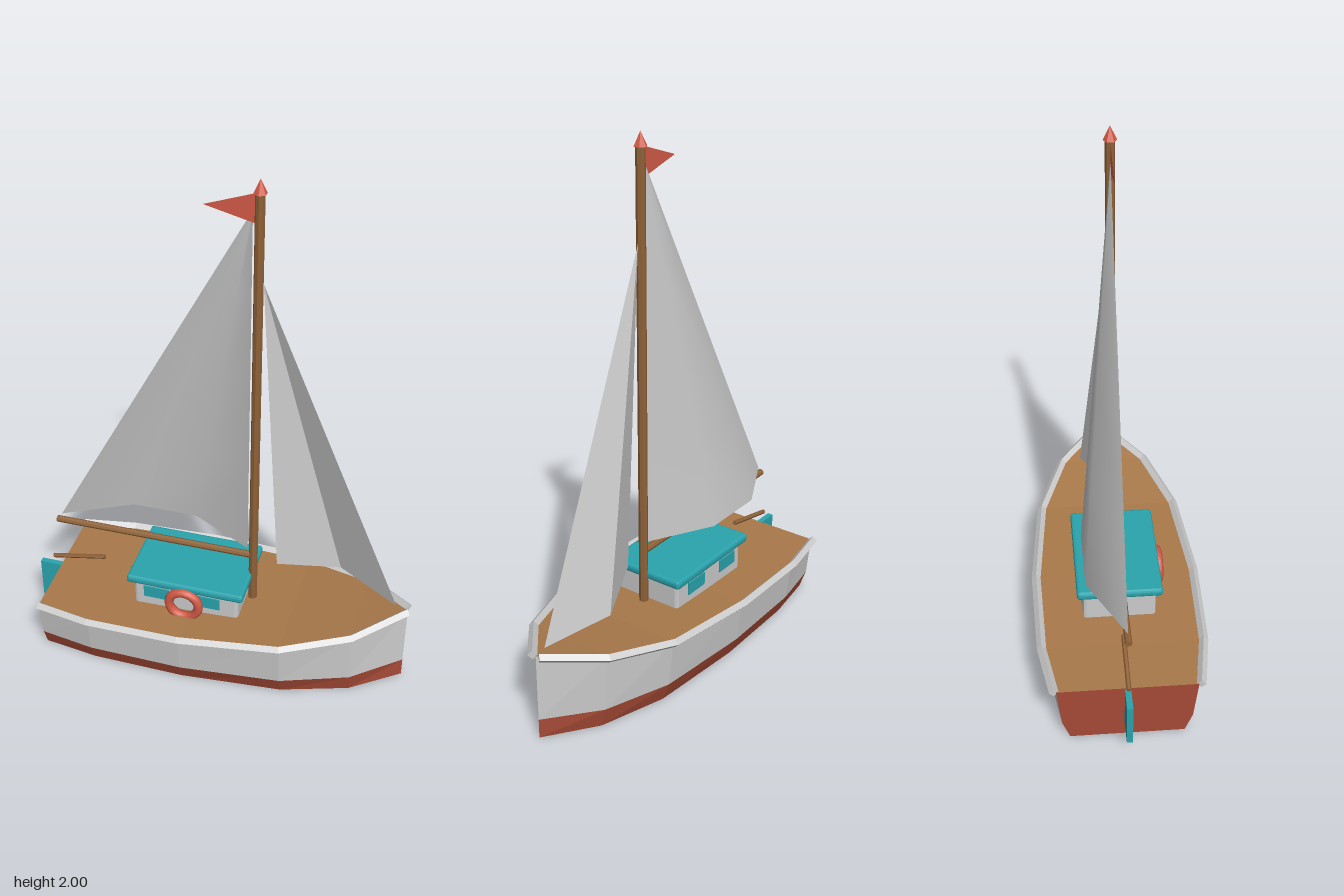
import * as THREE from 'three';
import { RoundedBoxGeometry } from 'three/addons/geometries/RoundedBoxGeometry.js';

const mat = (color, opts = {}) => {
  const m = new THREE.MeshStandardMaterial({ color });
  return Object.assign(m, opts);
};
const FLAT = { flatShading: true };
const white = mat(0xcccccc, FLAT);
const sailFlat = mat(0xcccccc, { flatShading: true, side: THREE.DoubleSide });
const sailSmooth = mat(0xcccccc, { side: THREE.DoubleSide });
const hullRed = mat(0xa64a36, FLAT);
const red = mat(0xd45b47, { flatShading: true, side: THREE.DoubleSide });
const ringRed = mat(0xd45b47);
const teal = mat(0x2aa3ad, FLAT);
const wood = mat(0x8f6238, FLAT);
const deckWood = mat(0xa9794a, FLAT);

// Stations along the boat: x, half width at the rail, sheer height
const stations = [
  [-0.65, 0.26, 0.235], [-0.44, 0.295, 0.235], [-0.08, 0.302, 0.244],
  [0.30, 0.265, 0.262], [0.55, 0.17, 0.298], [0.73, 0.015, 0.335],
];
const halfWidth = (w) => (w - 0.015) * 1.03;

// Surface through rows of points, each row one cross-section
function skin(rows) {
  const pos = [], idx = [], n = rows[0].length;
  rows.forEach((r) => r.forEach((p) => pos.push(...p)));
  for (let i = 0; i < rows.length - 1; i++) {
    for (let j = 0; j < n - 1; j++) {
      const a = i * n + j, b = a + n;
      idx.push(a, b, b + 1, a, b + 1, a + 1);
    }
  }
  return surface(pos, idx);
}

// Flat polygon as a triangle fan
function fan(points) {
  const idx = [];
  for (let i = 1; i < points.length - 1; i++) idx.push(0, i, i + 1);
  return surface(points.flat(), idx);
}

function surface(pos, idx) {
  const g = new THREE.BufferGeometry();
  g.setAttribute('position', new THREE.Float32BufferAttribute(pos, 3));
  g.setIndex(idx);
  g.computeVertexNormals();
  return g;
}

export function createModel() {
  const boat = new THREE.Group();
  boat.name = 'sailboat';

  const add = (name, geometry, material, x = 0, y = 0, z = 0) => {
    const m = new THREE.Mesh(geometry, material);
    m.name = name;
    m.position.set(x, y, z);
    boat.add(m);
    return m;
  };

  // Round bar between two points
  const bar = (name, a, b, r, sides) => {
    const p = new THREE.Vector3(...a), q = new THREE.Vector3(...b);
    const dir = q.clone().sub(p);
    const m = add(name, new THREE.CylinderGeometry(r, r, dir.length(), sides), wood);
    m.position.copy(p).add(q).multiplyScalar(0.5);
    m.quaternion.setFromUnitVectors(new THREE.Vector3(0, 1, 0), dir.normalize());
  };

  // Hull: red bottom, pale topsides, deck and transom
  const sections = stations.map(([x, w, top]) => {
    const h = halfWidth(w);
    return [
      [x, top, -h], [x, 0.075, -h * 0.93], [x, 0, -h * 0.82],
      [x, 0, h * 0.82], [x, 0.075, h * 0.93], [x, top, h],
    ];
  });
  add('hullBottom', skin(sections.map((s) => s.slice(1, 5))), hullRed);
  add('topsideRight', skin(sections.map((s) => s.slice(0, 2))), white);
  add('topsideLeft', skin(sections.map((s) => s.slice(4, 6))), white);
  add('transom', fan(sections[0]), hullRed);
  add('deck', skin(sections.map((s) => [s[5], s[0]])), deckWood);

  // Diamond-section rail along each side
  const r = 0.017;
  for (const side of [-1, 1]) {
    const rows = stations.map(([x, w, y], i) => {
      const a = stations[Math.max(i - 1, 0)], b = stations[Math.min(i + 1, 5)];
      const t = new THREE.Vector2(b[0] - a[0], side * (b[1] - a[1])).normalize();
      const z = side * w, dx = -t.y * r, dz = t.x * r;
      return [
        [x - dx, y, z - dz], [x, y - r, z], [x + dx, y, z + dz], [x, y + r, z], [x - dx, y, z - dz],
      ];
    });
    const name = side > 0 ? 'railFront' : 'railBack';
    add(name, skin(rows), white);
    add(name + 'SternEnd', fan(rows[0].slice(0, 4)), white);
    add(name + 'BowEnd', fan(rows[5].slice(0, 4).reverse()), white);
  }

  // Cabin with roof, windows and life ring
  add('cabin', new RoundedBoxGeometry(0.41, 0.13, 0.27, 1, 0.012), white, -0.095, 0.29, 0);
  add('cabinRoof', new RoundedBoxGeometry(0.455, 0.032, 0.315, 1, 0.01), teal, -0.095, 0.364, 0);
  for (const z of [-0.134, 0.134]) {
    for (const x of [-0.21, -0.01]) {
      add('window', new THREE.BoxGeometry(0.1, 0.05, 0.012), teal, x, 0.304, z);
    }
  }
  add('lifeRing', new THREE.TorusGeometry(0.058, 0.018, 8, 20), ringRed, -0.095, 0.294, 0.16);

  // Mast, cap, boom
  bar('mast', [0.133, 0.23, 0], [0.133, 1.96, 0], 0.017, 8);
  add('mastCap', new THREE.ConeGeometry(0.024, 0.05, 6), red, 0.133, 1.975, 0);
  bar('boom', [-0.655, 0.462, 0], [0.133, 0.462, 0], 0.013, 8);

  // Mainsail: foot curve billowing to one side, rising to the head
  const head = [0.11, 1.89, 0];
  const foot = [[-0.635, 0.49, 0], [-0.385, 0.49, -0.13], [-0.13, 0.49, -0.13], [0.11, 0.49, 0]];
  const levels = [0, 0.25, 0.5, 0.75, 0.99];
  add('mainsail', skin(levels.map((t) =>
    foot.map((p) => p.map((v, k) => v + (head[k] - v) * t)))), sailSmooth);

  // Jib: two flat panels meeting along a fold
  add('jib', fan([[0.15, 1.63, 0], [0.225, 0.44, 0], [0.452, 0.392, -0.1], [0.685, 0.345, 0]]), sailFlat);

  // Pennant
  add('flag', fan([[0.122, 1.95, 0], [-0.055, 1.888, 0], [0.122, 1.843, 0]]), red);

  // Rudder and tiller
  add('rudder', new THREE.BoxGeometry(0.095, 0.175, 0.022), teal, -0.6925, 0.142, 0);
  bar('tiller', [-0.685, 0.265, 0], [-0.467, 0.309, 0], 0.009, 6);

  return boat;
}
